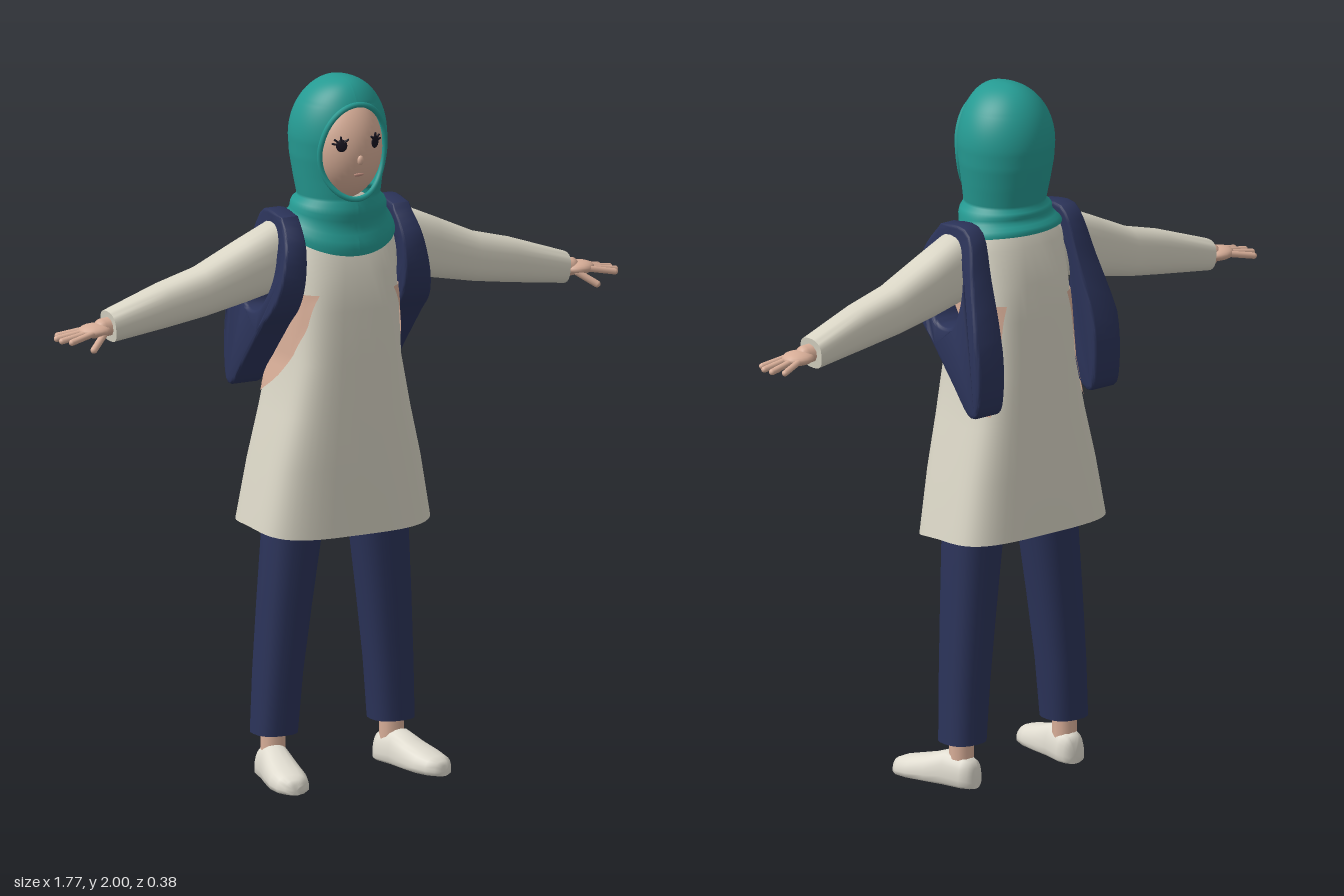
import * as THREE from 'three';
import { toCreasedNormals } from 'three/addons/utils/BufferGeometryUtils.js';

const { lerp } = THREE.MathUtils;
const V = (x, y, z) => new THREE.Vector3(x, y, z);
const spow = (v, e) => Math.sign(v) * Math.abs(v) ** e;

function material(name, color, double) {
  const m = new THREE.MeshStandardMaterial({ color });
  m.name = name;
  if (double) m.side = THREE.DoubleSide;
  return m;
}

function add(parent, name, geometry, mat) {
  const mesh = new THREE.Mesh(geometry, mat);
  mesh.name = name;
  parent.add(mesh);
  return mesh;
}

// Interpolates a table whose rows start with their rising key
function sample(table, key) {
  let i = 0;
  while (i < table.length - 2 && key > table[i + 1][0]) i++;
  const a = table[i], b = table[i + 1];
  const k = THREE.MathUtils.clamp((key - a[0]) / (b[0] - a[0]), 0, 1);
  return a.map((v, j) => lerp(v, b[j], k));
}

// Skins a list of equal-length point rows; closed joins each row into a ring
function loft(rings, closed = true, caps = false) {
  if (caps) {
    const middle = (r) => {
      const c = r.reduce((s, p) => s.add(p), V(0, 0, 0)).divideScalar(r.length);
      return r.map(() => c.clone());
    };
    const first = rings[0], last = rings[rings.length - 1];
    rings = [middle(first), first, ...rings, last, middle(last)];
  }
  const n = rings[0].length, index = [];
  for (let i = 0; i < rings.length - 1; i++) {
    for (let j = 0; j < (closed ? n : n - 1); j++) {
      const a = i * n + j, b = i * n + (j + 1) % n;
      index.push(a, b, a + n, b, b + n, a + n);
    }
  }
  const g = new THREE.BufferGeometry().setFromPoints(rings.flat());
  g.setIndex(index);
  g.computeVertexNormals();
  return g;
}

const ring = (n, fn) => Array.from({ length: n }, (_, j) => fn((j / n) * Math.PI * 2));

function capsule(parent, name, a, b, r, mat) {
  const mesh = add(parent, name, new THREE.CapsuleGeometry(r, a.distanceTo(b), 5, 10), mat);
  mesh.position.copy(a).lerp(b, 0.5);
  mesh.quaternion.setFromUnitVectors(V(0, 1, 0), b.clone().sub(a).normalize());
}

// Tunic sections: y, half width, front z, back z, squareness
const TUNIC = [
  [0.73, 0.27, 0.125, -0.19, 3.6], [0.9, 0.236, 0.127, -0.182, 3.6],
  [1.05, 0.2, 0.127, -0.172, 3.6], [1.2, 0.168, 0.127, -0.163, 3.6],
  [1.35, 0.16, 0.127, -0.155, 3.5], [1.45, 0.16, 0.118, -0.145, 3],
  [1.55, 0.165, 0.095, -0.12, 2.4], [1.62, 0.14, 0.06, -0.09, 2],
  [1.66, 0.06, 0.03, -0.05, 2],
];

// Hood section at height y: half width, front z, back z
function hoodSection(y) {
  if (y < 1.83) {
    return sample([[1.66, 0.118, 0.112, -0.11], [1.72, 0.128, 0.115, -0.122],
      [1.78, 0.137, 0.122, -0.133], [1.83, 0.14, 0.127, -0.137]], y).slice(1);
  }
  const c = Math.sqrt(Math.max(0, 1 - ((y - 1.83) / 0.17) ** 2));
  return [0.14 * c, 0.127 * c ** 0.6, -0.137 * c ** 0.9];
}
function hoodPoint(y, t) {
  const [rx, f, b] = hoodSection(y);
  return V(rx * Math.sin(t), y, (f + b) / 2 + ((f - b) / 2) * Math.cos(t));
}
const faceWidth = (y) => 0.103 * Math.sqrt(Math.max(0, 1 - ((y - 1.8) / 0.135) ** 2));

export function createModel() {
  const model = new THREE.Group();
  model.name = 'standingFigure';
  const cream = material('cream cloth', 0xd9d5c5, true);
  const teal = material('teal scarf', 0x259a92, true);
  const navy = material('navy cloth', 0x2b3359);
  const skin = material('skin', 0xd8ae98, true);
  const white = material('shoe white', 0xe0dcd0);
  const dark = material('eye dark', 0x17131f);
  const lip = material('lips', 0xc08f80);

  // Tunic, open at a slightly dipped hem
  const tunicRings = TUNIC.map(([y, w, f, b, n], i) => ring(48, (t) => V(
    w * spow(Math.sin(t), 2 / n),
    y - (i ? 0 : 0.025 * Math.max(0, Math.cos(t))),
    (f + b) / 2 + ((f - b) / 2) * spow(Math.cos(t), 2 / n))));
  add(model, 'tunic', loft(tunicRings), cream);

  // Head scarf: draped collar, then hood with an open oval for the face
  const N = 64, rows = [];
  for (let i = 8; i > 0; i--) {
    const k = i / 8;
    rows.push(Array.from({ length: N + 1 }, (_, j) => {
      const t = (j / N) * Math.PI * 2, f = ((1 + Math.cos(t)) / 2) ** 2;
      const fold = 0.005 * Math.sin(k * Math.PI * 3);
      const front = lerp(0.112, 0.122, k) + fold, back = lerp(-0.11, -0.135, k) - fold;
      return V((lerp(0.118, 0.17, k ** 0.8) + fold) * Math.sin(t), 1.66 - k * (0.07 + 0.085 * f),
        (front + back) / 2 + ((front - back) / 2) * Math.cos(t));
    }));
  }
  const heights = [];
  for (let i = 0; i < 20; i++) heights.push(lerp(1.66, 1.83, i / 20));
  for (let i = 0; i <= 28; i++) heights.push(1.83 + 0.17 * Math.sin((i / 28) * Math.PI / 2));
  for (const y of heights) {
    const w = faceWidth(y);
    const gap = w > 0 ? Math.asin(Math.min(1, w / hoodSection(y)[0])) : 0;
    rows.push(Array.from({ length: N + 1 }, (_, j) => hoodPoint(y, lerp(gap, Math.PI * 2 - gap, j / N))));
  }
  add(model, 'headScarf', loft(rows, false), teal);
  const rim = ring(48, (s) => {
    const y = 1.8 + 0.135 * Math.sin(s), x = 0.103 * Math.cos(s);
    return hoodPoint(y, Math.asin(x / hoodSection(y)[0]));
  });
  add(model, 'scarfRim', new THREE.TubeGeometry(new THREE.CatmullRomCurve3(rim, true), 80, 0.008, 8, true), teal);

  // Face
  const face = add(model, 'face', new THREE.SphereGeometry(1, 40, 28), skin);
  face.scale.set(0.115, 0.15, 0.11);
  face.position.set(0, 1.8, 0.02);
  const nose = add(model, 'nose', new THREE.SphereGeometry(1, 12, 10), skin);
  nose.scale.set(0.01, 0.014, 0.008);
  nose.position.set(0, 1.78, 0.129);
  const mouth = add(model, 'mouth', new THREE.SphereGeometry(1, 12, 8), lip);
  mouth.scale.set(0.016, 0.005, 0.004);
  mouth.position.set(0, 1.737, 0.1195);

  for (const side of [1, -1]) {
    const half = new THREE.Group();
    half.name = side > 0 ? 'leftSide' : 'rightSide';
    half.scale.x = side;
    model.add(half);

    // Eye with lashes
    const eye = add(half, 'eye', new THREE.SphereGeometry(1, 16, 12), dark);
    eye.scale.set(0.016, 0.018, 0.004);
    eye.position.set(0.053, 1.825, 0.1165);
    eye.rotation.y = 0.45;
    for (const a of [0.1, 0.7, 1.5, 2.4]) {
      const tip = V(0.053 + 0.022 * Math.cos(a), 1.828 + 0.021 * Math.sin(a), 0.116 - 0.011 * Math.cos(a));
      capsule(half, 'eyelash', V(0.053, 1.828, 0.117), tip, 0.003, dark);
    }

    // Sleeve: x, top, bottom, front z, back z
    const sleeve = [
      [0.12, 1.6, 1.4, 0.045, -0.075], [0.2, 1.6, 1.405, 0.052, -0.075],
      [0.3, 1.555, 1.382, 0.05, -0.075], [0.43, 1.495, 1.356, 0.045, -0.07],
      [0.55, 1.463, 1.338, 0.04, -0.065], [0.72, 1.403, 1.315, 0.03, -0.06],
    ].map(([x, u, d, f, b]) => ring(24, (t) => V(x + 0.006 * Math.cos(t),
      (u + d) / 2 + ((u - d) / 2) * spow(Math.cos(t), 0.75),
      (f + b) / 2 + ((f - b) / 2) * spow(Math.sin(t), 0.75))));
    add(half, 'sleeve', toCreasedNormals(loft(sleeve, true, true), 0.8), cream);

    // Hand
    capsule(half, 'wrist', V(0.69, 1.362, -0.015), V(0.74, 1.358, -0.012), 0.027, skin);
    const palm = add(half, 'palm', new THREE.SphereGeometry(1, 16, 12), skin);
    palm.scale.set(0.048, 0.02, 0.043);
    palm.position.set(0.765, 1.353, -0.012);
    [[-0.04, -0.062, 0.855], [-0.02, -0.03, 0.875], [0, 0.002, 0.876], [0.017, 0.03, 0.86]].forEach(([z, tip, x]) =>
      capsule(half, 'finger', V(0.785, 1.352, z), V(x, 1.338, tip), 0.009, skin));
    capsule(half, 'thumb', V(0.75, 1.345, 0.015), V(0.797, 1.312, 0.042), 0.01, skin);

    // Bare patch under the arm, following the tunic surface
    const patchFront = [[1.09, -0.12], [1.12, -0.06], [1.16, -0.01], [1.22, 0.045], [1.3, 0.09], [1.4, 0.107]];
    const patch = Array.from({ length: 15 }, (_, i) => {
      const y = lerp(1.09, 1.4, i / 14), z0 = sample(patchFront, y)[1];
      const [, w, f, b, n] = sample(TUNIC, y);
      return Array.from({ length: 13 }, (_, j) => {
        const z = lerp(z0, -0.138, j / 12), u = Math.abs((z - (f + b) / 2) / ((f - b) / 2));
        return V(w * (1 - u ** n) ** (1 / n) + 0.004, y, z);
      });
    });
    add(half, 'underarm', loft(patch, false), skin);

    // Pack side and shoulder strap, a loop around the arm; points are z, y
    const outline = (pts) => new THREE.SplineCurve([...pts, pts[0]]
      .map(([z, y]) => new THREE.Vector2(-z, y))).getPoints(50);
    const shape = new THREE.Shape(outline([[0.035, 1.61], [-0.07, 1.61], [-0.12, 1.48], [-0.178, 1.3],
      [-0.18, 1.15], [-0.15, 1.12], [-0.08, 1.2], [0.01, 1.305], [0.07, 1.37], [0.095, 1.45], [0.085, 1.54]]));
    shape.holes.push(new THREE.Path(outline([[0.03, 1.565], [0.058, 1.5], [0.05, 1.42], [0, 1.345],
      [-0.075, 1.345], [-0.098, 1.42], [-0.085, 1.51], [-0.04, 1.565]])));
    const strap = new THREE.ExtrudeGeometry(shape, { depth: 0.8, bevelThickness: 0.1, bevelSize: 0.01, bevelSegments: 3, steps: 1 });
    strap.rotateY(Math.PI / 2);
    const p = strap.attributes.position;
    for (let i = 0; i < p.count; i++) {
      const k = THREE.MathUtils.clamp((1.6 - p.getY(i)) / 0.27, 0, 1);
      p.setX(i, lerp(0.147, 0.163, k) + (p.getX(i) + 0.1) * lerp(0.058, 0.097, k));
    }
    add(half, 'packStrap', toCreasedNormals(strap, 0.7), navy);

    // Trouser leg: y, centre x, half width, front z, back z
    const leg = [
      [0.13, 0.185, 0.064, 0.027, -0.097], [0.3, 0.175, 0.067, 0.036, -0.1], [0.5, 0.157, 0.074, 0.047, -0.1],
      [0.72, 0.135, 0.082, 0.06, -0.1], [0.88, 0.115, 0.09, 0.065, -0.1],
    ].map(([y, x, w, f, b]) => ring(20, (t) => V(x + w * spow(Math.sin(t), 0.8), y,
      (f + b) / 2 + ((f - b) / 2) * spow(Math.cos(t), 0.8))));
    add(half, 'trouserLeg', toCreasedNormals(loft(leg, true, true), 0.8), navy);
    capsule(half, 'ankle', V(0.188, 0.07, -0.035), V(0.188, 0.15, -0.035), 0.035, skin);

    // Shoe: z, half width, height
    const shoe = [
      [-0.09, 0.018, 0.06], [-0.082, 0.034, 0.08], [-0.06, 0.044, 0.088], [0, 0.047, 0.1], [0.06, 0.053, 0.078],
      [0.12, 0.056, 0.062], [0.16, 0.048, 0.052], [0.182, 0.03, 0.042], [0.19, 0.012, 0.03],
    ].map(([z, w, h]) => ring(24, (t) => {
      const s = Math.sin(t);
      return V(w * spow(Math.cos(t), 0.7), s > 0 ? h * (0.3 + 0.7 * s) : 0.3 * h * (1 - (-s) ** 0.4), z);
    }));
    const shoeMesh = add(half, 'shoe', toCreasedNormals(loft(shoe, true, true), 0.9), white);
    shoeMesh.position.x = 0.198;
    shoeMesh.rotation.y = 0.2;
  }
  return model;
}
